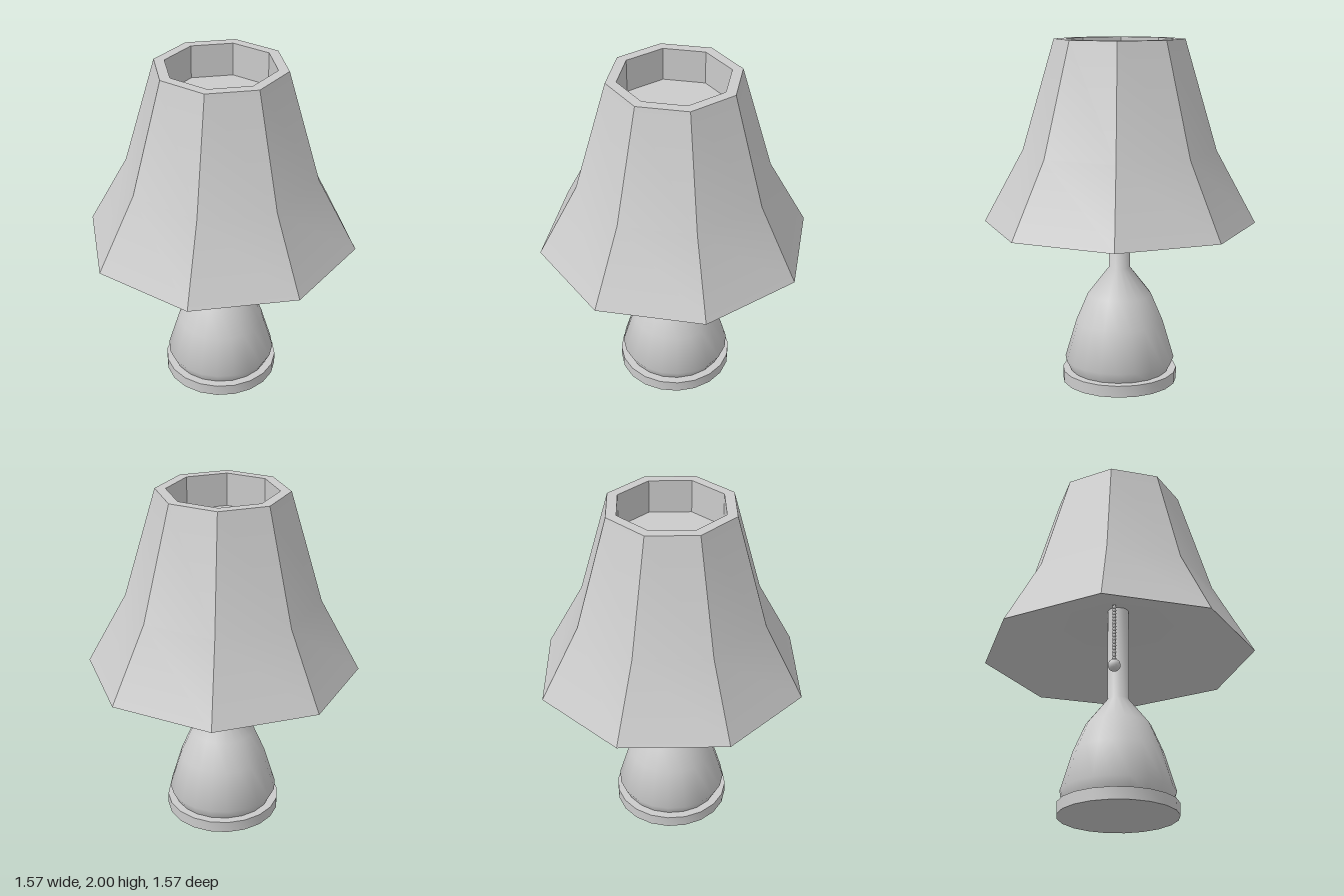
import * as THREE from 'three';
import { toCreasedNormals } from 'three/addons/utils/BufferGeometryUtils.js';

const material = new THREE.MeshStandardMaterial({ color: 0xcccccc });

function addMesh(parent, name, geometry) {
  const mesh = new THREE.Mesh(geometry, material);
  mesh.name = name;
  parent.add(mesh);
  return mesh;
}

// Turned part from [radius, height] pairs, sharp where faces meet above the crease angle
function turned(profile, sides, crease) {
  const points = profile.map(([r, y]) => new THREE.Vector2(r, y));
  return toCreasedNormals(new THREE.LatheGeometry(points, sides), crease);
}

export function createModel() {
  const lamp = new THREE.Group();
  lamp.name = 'tableLamp';

  // Round foot
  addMesh(lamp, 'foot', turned([[0, 0], [0.337, 0], [0.337, 0.068], [0, 0.068]], 20, 0.9));

  // Bulbous body running up into the pole
  addMesh(lamp, 'bodyAndPole', turned([
    [0.29, 0.066], [0.322, 0.132], [0.255, 0.357], [0.186, 0.52],
    [0.062, 0.68], [0.062, 1.27],
  ], 20, 0.9));

  // Eight-sided flared shade: hollow cone beneath, shallow well on top
  addMesh(lamp, 'shade', turned([
    [0, 1.265], [0.785, 0.95], [0.556, 1.37], [0.37, 2],
    [0.31, 2], [0.31, 1.81], [0, 1.81],
  ], 8, 0.6));

  // Beaded pull chain with a round knob
  const chain = new THREE.Group();
  chain.name = 'pullChain';
  chain.position.x = -0.2;
  lamp.add(chain);
  const bead = new THREE.SphereGeometry(0.012, 10, 8);
  for (let y = 0.85; y < 1.2; y += 0.02) {
    addMesh(chain, 'chainBead', bead).position.y = y;
  }
  addMesh(chain, 'pullKnob', new THREE.SphereGeometry(0.036, 14, 10)).position.y = 0.808;

  return lamp;
}
